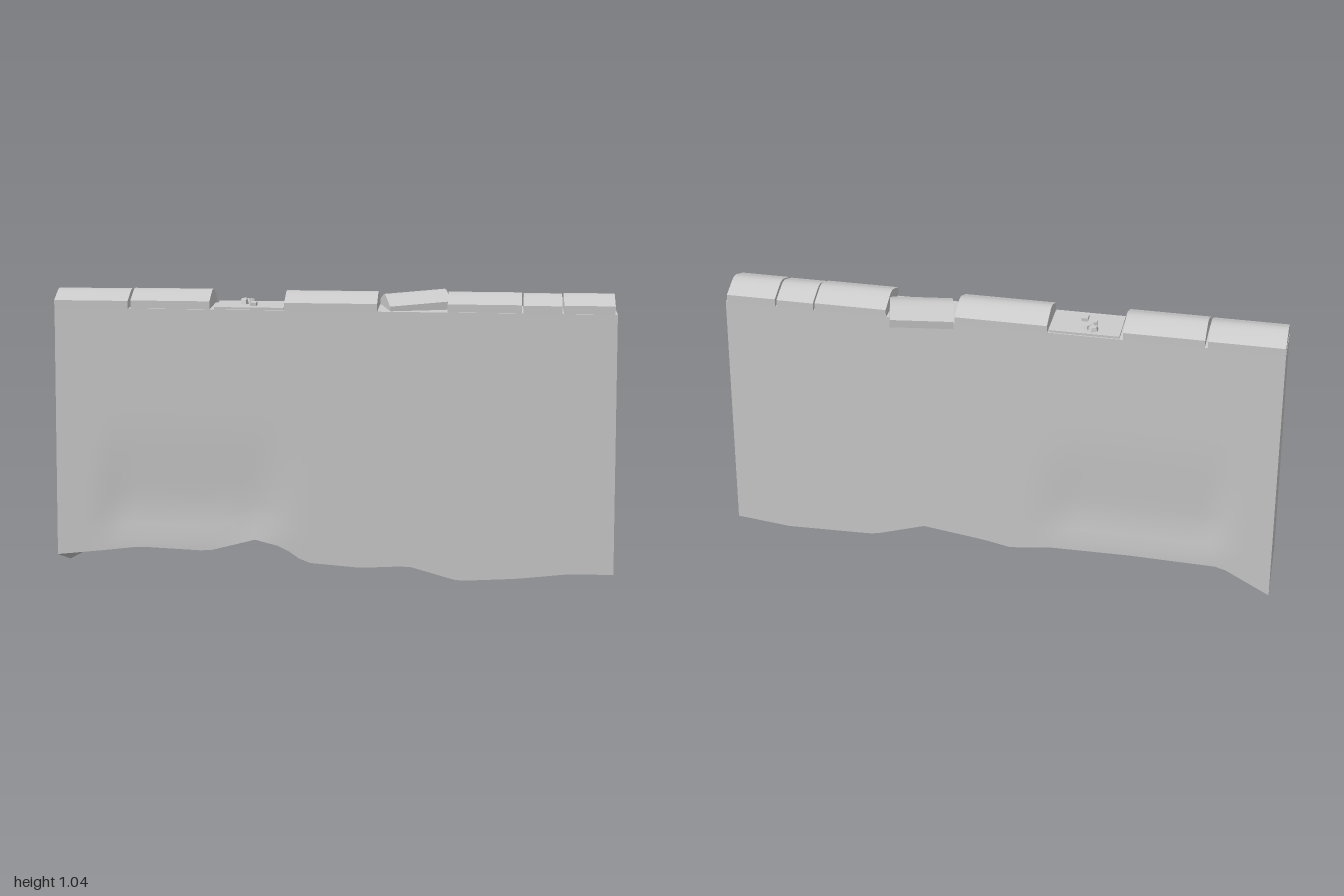
import * as THREE from 'three';
import { toCreasedNormals } from 'three/addons/utils/BufferGeometryUtils.js';

const stone = new THREE.MeshStandardMaterial({ color: 0xcccccc });
stone.name = 'pale stone';

// Ragged underside of the wall as [x, y] points, along the front and back edges
const FRONT_EDGE = [[-1, 0.08], [-0.82, 0.1], [-0.7, 0.115], [-0.45, 0.105], [-0.28, 0.15], [-0.18, 0.125],
  [-0.1, 0.07], [0.1, 0.055], [0.27, 0.065], [0.45, 0.015], [0.66, 0.028], [0.85, 0.05], [1, 0.05]];
const BACK_EDGE = [[-1, 0.003], [-0.82, 0.1], [-0.48, 0.105], [-0.2, 0.1], [-0.05, 0.08], [0.05, 0.1],
  [0.28, 0.13], [0.47, 0.07], [0.8, 0.06], [1, 0.08]];

const { lerp, smoothstep } = THREE.MathUtils;

function along(points, x) {
  let i = 1;
  while (i < points.length - 1 && x > points[i][0]) i++;
  const [x0, y0] = points[i - 1], [x1, y1] = points[i];
  return lerp(y0, y1, (x - x0) / (x1 - x0));
}

function add(group, name, geometry) {
  const mesh = new THREE.Mesh(geometry, stone);
  mesh.name = name;
  group.add(mesh);
  return mesh;
}

// Tapered slab with a ragged foot that swells slightly where it is worn
function wallGeometry() {
  const geo = new THREE.BoxGeometry(2, 1, 1, 50, 12, 4);
  const p = geo.attributes.position;
  for (let i = 0; i < p.count; i++) {
    const x = p.getX(i), v = p.getY(i) + 0.5, w = p.getZ(i) + 0.5;
    const foot = lerp(along(BACK_EDGE, x), along(FRONT_EDGE, x), w);
    const y = lerp(foot, 0.98, Math.pow(v, 1.3));
    const worn = smoothstep(x, -0.88, -0.75) * (1 - smoothstep(x, -0.3, -0.1));
    const hollow = 0.012 * worn * smoothstep(y, 0.13, 0.25) * (1 - smoothstep(y, 0.25, 0.6));
    const front = lerp(0.127, 0.106, y) - hollow;
    const back = lerp(-0.08, -0.06, y) + hollow;
    p.setXYZ(i, x * (1 - 0.014 * y), y, lerp(back, front, w));
  }
  return toCreasedNormals(geo, 0.6);
}

// Coping stone: a low ridged profile run along x, centred on its own origin
function copingGeometry(length) {
  const profile = [[-0.09, 0], [0.09, 0], [0.09, 0.028], [0.035, 0.05], [0.012, 0.058],
    [-0.012, 0.058], [-0.035, 0.05], [-0.09, 0.028]];
  const shape = new THREE.Shape(profile.map(([z, y]) => new THREE.Vector2(-z, y)));
  const geo = new THREE.ExtrudeGeometry(shape, { depth: length, bevelEnabled: false });
  geo.translate(0, 0, -length / 2).rotateY(Math.PI / 2);
  return toCreasedNormals(geo, 0.4);
}

export function createModel() {
  const model = new THREE.Group();
  model.name = 'brokenWall';
  add(model, 'wall', wallGeometry());

  // Row of coping stones, with a gap where one is missing
  const coping = new THREE.Group();
  coping.name = 'coping';
  model.add(coping);
  const spans = [[-0.985, -0.723], [-0.713, -0.433], [-0.17, 0.155], [0.4, 0.657], [0.663, 0.796], [0.802, 0.978]];
  spans.forEach(([a, b], i) => {
    const cap = add(coping, 'copingStone', copingGeometry(b - a));
    cap.position.set((a + b) / 2, 0.98 + (i % 2) * 0.002, 0.024);
  });

  // Dislodged stone, turned and tipped
  const loose = add(coping, 'looseCopingStone', copingGeometry(0.22));
  loose.position.set(0.285, 0.975, -0.02);
  loose.rotation.set(0, 0.25, 0.06, 'YXZ');

  // Mortar bed showing in the gap
  const bed = add(model, 'mortarBed', new THREE.BoxGeometry(0.245, 0.012, 0.155));
  bed.position.set(-0.297, 0.982, 0.022);

  // Rubble left on the bed
  const rubble = new THREE.Group();
  rubble.name = 'rubble';
  model.add(rubble);
  const bits = [[-0.325, -0.025, 0.02, 0.3], [-0.3, -0.015, 0.018, 0.9], [-0.322, 0.015, 0.016, 0.5], [-0.285, 0.05, 0.02, 0]];
  bits.forEach(([x, z, s, turn], i) => {
    const geo = i === 3 ? new THREE.BoxGeometry(0.022, 0.012, 0.036)
      : new THREE.CylinderGeometry(s * 0.7, s, 0.015, 5);
    const bit = add(rubble, 'pebble', toCreasedNormals(geo, 0.2));
    bit.position.set(x, 0.994, z);
    bit.rotation.y = turn;
  });
  return model;
}
